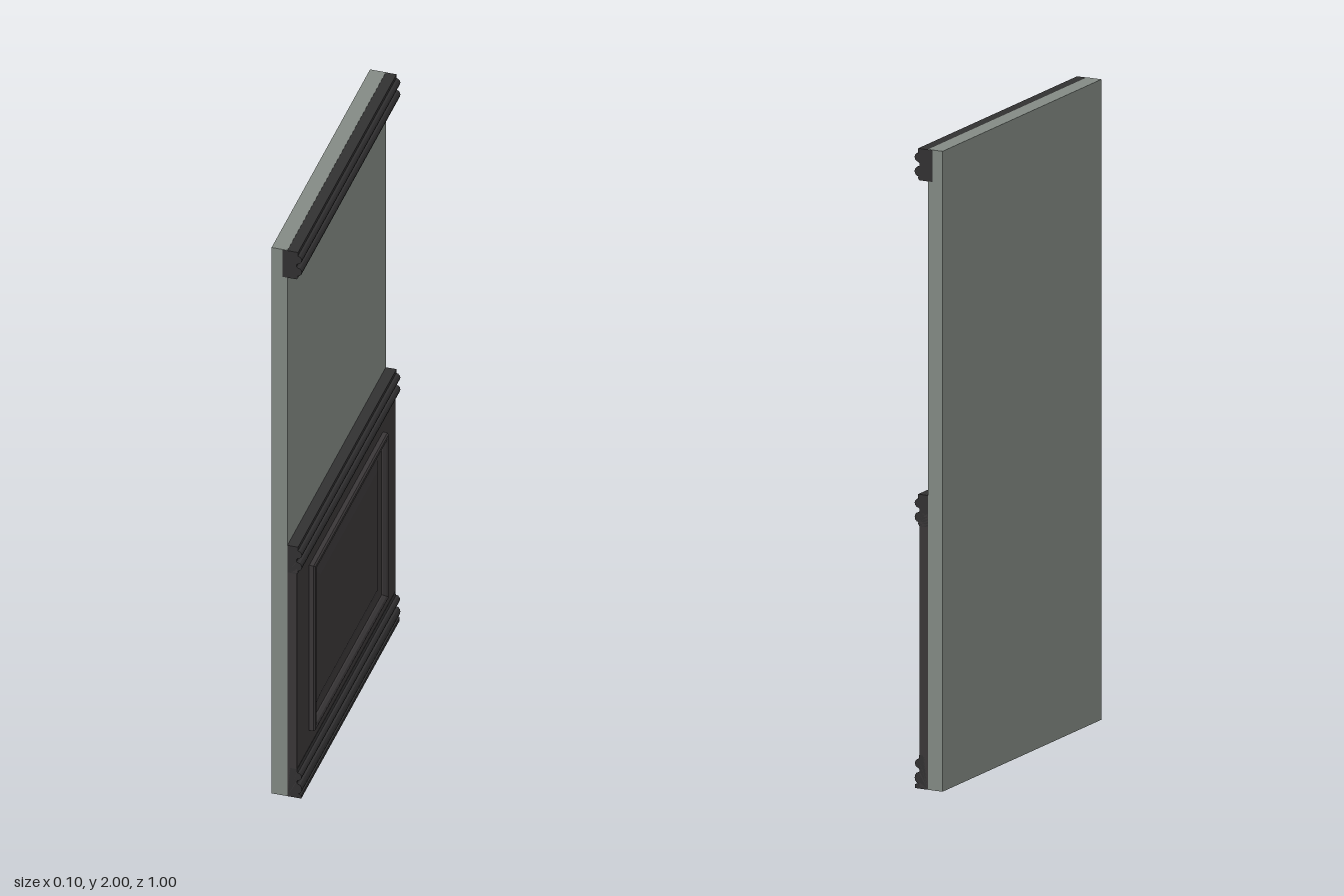
import * as THREE from 'three';

const wallMat = new THREE.MeshStandardMaterial({ color: 0x838a84 });
const woodMat = new THREE.MeshStandardMaterial({ color: 0x3a3738 });
const trimMat = new THREE.MeshStandardMaterial({ color: 0x323132 });

function slab(name, mat, x0, x1, y0, y1) {
  const mesh = new THREE.Mesh(new THREE.BoxGeometry(x1 - x0, y1 - y0, 1), mat);
  mesh.position.set((x0 + x1) / 2, (y0 + y1) / 2, 0);
  mesh.name = name;
  return mesh;
}

// Moulding: a front profile of [x, y] points run along the wall's length
function moulding(name, back, y, profile, length = 1) {
  const top = profile[profile.length - 1][1];
  const shape = new THREE.Shape([
    [back, 0], ...profile, [back, top],
  ].map(([px, py]) => new THREE.Vector2(px, py)));
  const geo = new THREE.ExtrudeGeometry(shape, { depth: length, bevelEnabled: false });
  geo.translate(0, y, -length / 2);
  const mesh = new THREE.Mesh(geo, trimMat);
  mesh.name = name;
  return mesh;
}

// Half-round bead between two heights, standing out from x to x + r
function bead(x, r, y0, y1, n = 6) {
  return Array.from({ length: n + 1 }, (_, i) => {
    const a = (i / n) * Math.PI;
    return [x + r * Math.sin(a), (y0 + y1) / 2 - ((y1 - y0) / 2) * Math.cos(a)];
  });
}

// Stepped rectangular panel: nested rectangles given as [inset, x], closed by a flat field
function steppedPanel(halfZ, y0, y1, steps) {
  const pos = [];
  const loop = ([d, x]) => [
    [x, y0 + d, halfZ - d], [x, y0 + d, -halfZ + d],
    [x, y1 - d, -halfZ + d], [x, y1 - d, halfZ - d],
  ];
  const quad = (a, b, c, d) => pos.push(...a, ...b, ...c, ...a, ...c, ...d);
  for (let s = 0; s < steps.length - 1; s++) {
    const o = loop(steps[s]), n = loop(steps[s + 1]);
    for (let i = 0; i < 4; i++) {
      const j = (i + 1) % 4;
      quad(o[i], o[j], n[j], n[i]);
    }
  }
  quad(...loop(steps[steps.length - 1]));
  const geo = new THREE.BufferGeometry();
  geo.setAttribute('position', new THREE.Float32BufferAttribute(pos, 3));
  geo.computeVertexNormals();
  return geo;
}

export function createModel() {
  const group = new THREE.Group();
  group.name = 'wainscotWall';

  group.add(slab('wall', wallMat, -0.05, 0, 0, 2));
  group.add(slab('wainscot', woodMat, 0, 0.03, 0, 0.86));

  // Framed panel with a raised, bevelled field
  const panel = new THREE.Mesh(steppedPanel(0.375, 0.165, 0.77, [
    [0, 0.029], [0, 0.044], [0.004, 0.049], [0.012, 0.05], [0.018, 0.047],
    [0.024, 0.038], [0.024, 0.033], [0.06, 0.033], [0.085, 0.04],
  ]), woodMat);
  panel.name = 'raisedPanel';
  group.add(panel);

  // Double-beaded rail profile shared by the crown and the chair rail
  const rail = [
    [0.03, 0], [0.035, 0.008],
    ...bead(0.033, 0.013, 0.012, 0.042),
    [0.029, 0.045], [0.029, 0.053],
    ...bead(0.033, 0.013, 0.057, 0.085),
    [0.034, 0.088], [0.034, 0.099],
  ];
  // The crown is let slightly into the wall
  group.add(moulding('crownMoulding', -0.015, 1.9, rail, 1.001));
  group.add(moulding('chairRail', 0, 0.82, rail));

  // Skirting with a square foot and two beads
  group.add(moulding('skirting', 0, 0, [
    [0.044, 0], [0.044, 0.012],
    ...bead(0.034, 0.012, 0.016, 0.05),
    [0.03, 0.054], [0.03, 0.06],
    ...bead(0.033, 0.012, 0.064, 0.092),
    [0.031, 0.096], [0.031, 0.105],
  ]));

  return group;
}
